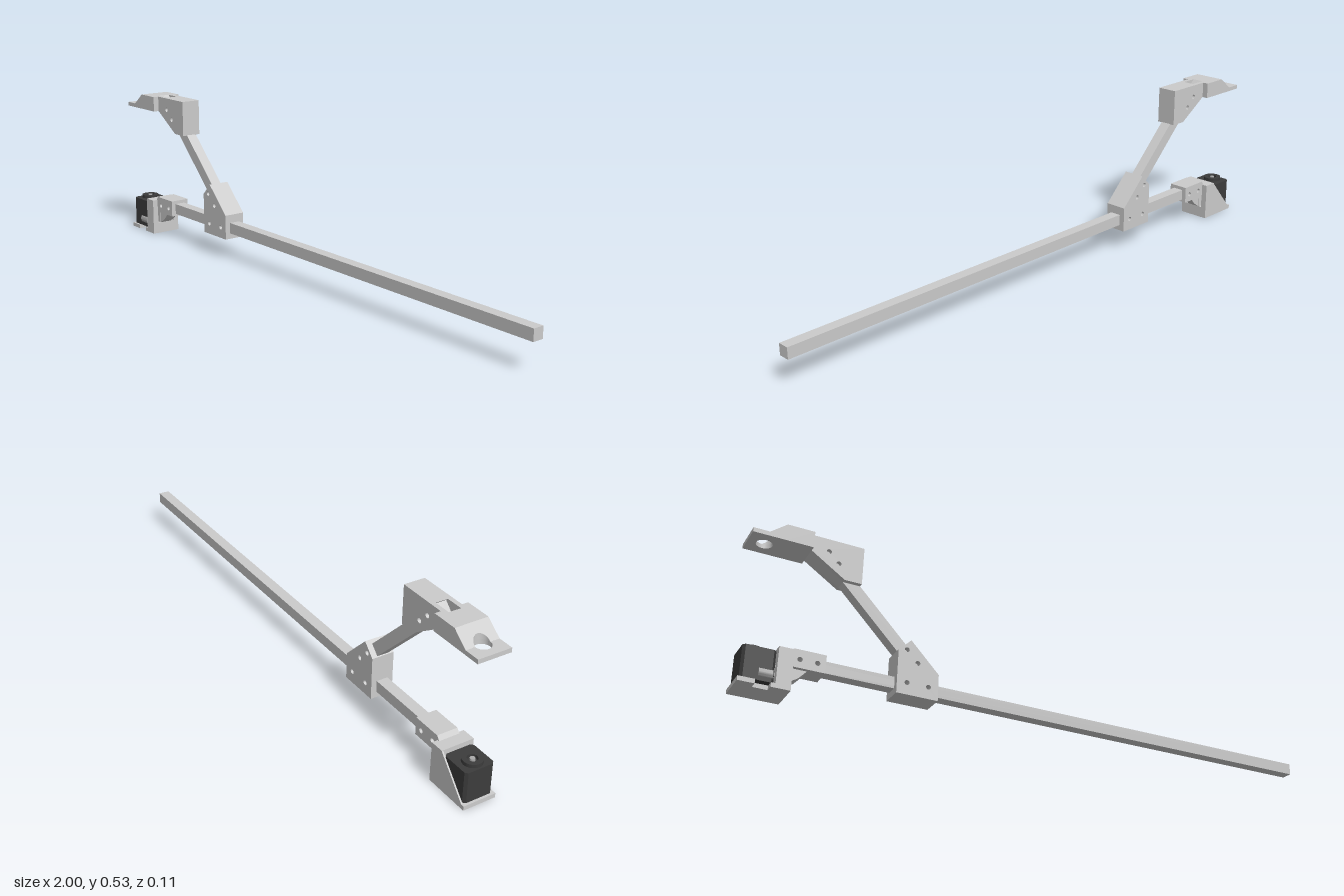
import * as THREE from 'three';
import { toCreasedNormals } from 'three/addons/utils/BufferGeometryUtils.js';

const grey = new THREE.MeshStandardMaterial({ color: 0xcccccc });
const dark = new THREE.MeshStandardMaterial({ color: 0x3c3c3c });
const silver = new THREE.MeshStandardMaterial({ color: 0xaaaaaa });

function circle(x, y, r) {
  return new THREE.Path().absarc(x, y, r, 0, Math.PI * 2, true);
}
function extrude(points, depth, holes = []) {
  const shape = new THREE.Shape(points.map(([x, y]) => new THREE.Vector2(x, y)));
  shape.holes.push(...holes);
  return new THREE.ExtrudeGeometry(shape, { depth, bevelEnabled: false, curveSegments: 10 });
}
// side profile (x, y) running from z0 to z1, with round bolt holes
function side(points, z0, z1, bolts = []) {
  return extrude(points, z1 - z0, bolts.map(([x, y]) => circle(x, y, 0.008))).translate(0, 0, z0);
}
// plan profile (x, -z) running from y0 to y1
function plan(points, y0, y1, holes) {
  return extrude(points, y1 - y0, holes).rotateX(-Math.PI / 2).translate(0, y0, 0);
}
const rect = (x0, y0, x1, y1) => [[x0, y0], [x1, y0], [x1, y1], [x0, y1]];

export function createModel() {
  const model = new THREE.Group();
  const group = (name) => {
    const g = new THREE.Group();
    g.name = name;
    model.add(g);
    return g;
  };
  const add = (parent, name, geometry, material = grey) => {
    const mesh = new THREE.Mesh(toCreasedNormals(geometry, 0.6), material);
    mesh.name = name;
    parent.add(mesh);
    return mesh;
  };

  // bolt positions in side view
  const railBolts = [[-0.487, 0.112], [-0.417, 0.112]];
  const mountBolts = [[-0.818, 0.112], [-0.765, 0.112]];
  const strutLow = [[-0.492, 0.22], [-0.455, 0.183]];
  const strutHigh = [[-0.76, 0.488], [-0.727, 0.455]];

  // square tubes
  add(model, 'mainBar', side(rect(-0.838, 0.093, 1, 0.131), -0.019, 0.019, [...railBolts, ...mountBolts]));
  add(model, 'diagonalBar', side(
    [[-0.444, 0.144], [-0.416, 0.172], [-0.768, 0.524], [-0.796, 0.496]],
    -0.019, 0.019, [...strutLow, ...strutHigh]));

  // clamp joining the two tubes
  add(model, 'middleClamp', side(
    [[-0.52, 0.073], [-0.385, 0.073], [-0.385, 0.16], [-0.48, 0.255], [-0.52, 0.215]],
    -0.038, 0.038, [...railBolts, ...strutLow]));

  // upper block, open along the slanted tube channel
  const upper = group('upperHolder');
  const blockOutline = [[-0.815, 0.476], [-0.705, 0.405], [-0.65, 0.405], [-0.65, 0.53], [-0.815, 0.53]];
  const platform = group('upperPlatform');
  for (const s of [-1, 1]) {
    const span = (a, b) => (s > 0 ? [a, b] : [-b, -a]);
    add(upper, 'blockCheek', side(blockOutline, ...span(0.02, 0.035), strutHigh));
    add(platform, 'platformCheek', side(rect(-0.9, 0.476, -0.815, 0.53), ...span(0.02, 0.055)));
  }
  add(upper, 'blockCore', side([[-0.65, 0.406], [-0.65, 0.53], [-0.774, 0.53]], -0.02, 0.02));
  add(upper, 'blockLip', side([[-0.815, 0.476], [-0.705, 0.405], [-0.815, 0.515]], -0.02, 0.02));
  add(platform, 'platformCore', side(
    [[-0.9, 0.476], [-0.815, 0.476], [-0.815, 0.515], [-0.83, 0.53], [-0.9, 0.53]], -0.02, 0.02));

  // thin end plate with a round hole, and the ramp rising from it
  const holeX = -0.95, holeR = 0.025;
  add(platform, 'endPlate', plan(rect(-1, -0.055, -0.9, 0.055), 0.476, 0.49, [circle(holeX, 0, holeR)]));
  const rampPlan = [[holeX, -0.055], [-0.9, -0.055], [-0.9, 0.055], [holeX, 0.055]];
  for (let i = 0; i <= 10; i++) {
    const a = Math.PI / 2 - (i / 10) * Math.PI;
    rampPlan.push([holeX + holeR * Math.cos(a), holeR * Math.sin(a)]);
  }
  const ramp = plan(rampPlan, 0.49, 0.53);
  const p = ramp.attributes.position;
  for (let i = 0; i < p.count; i++) {
    if (p.getY(i) > 0.51) p.setY(i, 0.4901 + (p.getX(i) - holeX) * 0.798);
  }
  ramp.computeVertexNormals();
  add(platform, 'ramp', ramp);

  // lower mount: sleeve, gusset, slotted wall, base plate and side web
  const mount = group('motorMount');
  add(mount, 'sleeve', side(
    [[-0.845, 0.085], [-0.74, 0.085], [-0.74, 0.143], [-0.838, 0.143], [-0.85, 0.128]],
    -0.035, 0.035, mountBolts));
  add(mount, 'gusset', side(
    [[-0.842, 0.04], [-0.815, 0.058], [-0.79, 0.086], [-0.842, 0.086]], -0.022, 0.022));
  const slots = [-1, 1].map((s) => new THREE.Path(
    rect(s * 0.029 - 0.005, 0.04, s * 0.029 + 0.005, 0.084).map(([x, y]) => new THREE.Vector2(x, y))));
  add(mount, 'wall', extrude(rect(-0.055, 0, 0.055, 0.13), 0.045, slots)
    .rotateY(Math.PI / 2).translate(-0.887, 0, 0));
  add(mount, 'basePlate', plan(
    [[-0.995, -0.055], [-0.945, -0.055], [-0.945, -0.028], [-0.9, -0.028], [-0.9, -0.055],
      [-0.887, -0.055], [-0.887, 0.055], [-0.995, 0.055]], 0, 0.014));
  add(mount, 'sideWeb', side([[-0.985, 0.014], [-0.887, 0.014], [-0.887, 0.128]], -0.055, -0.05));

  // motor with chamfered corners, top boss, shaft and cable socket
  const motor = group('motor');
  const mx = -0.939, h = 0.049, c = 0.008;
  add(motor, 'motorBody', plan(
    [[mx - h + c, -h], [mx + h - c, -h], [mx + h, -h + c], [mx + h, h - c],
      [mx + h - c, h], [mx - h + c, h], [mx - h, h - c], [mx - h, -h + c]], 0.015, 0.117), dark);
  add(motor, 'topBoss', plan(
    Array.from({ length: 28 }, (_, i) => {
      const a = (i / 28) * Math.PI * 2;
      return [-0.951 + 0.031 * Math.cos(a), 0.031 * Math.sin(a)];
    }), 0.116, 0.128, [circle(-0.951, 0, 0.016)]), dark);
  add(motor, 'shaft', new THREE.CylinderGeometry(0.008, 0.008, 0.012, 16).translate(-0.951, 0.122, 0), silver);
  add(motor, 'cableSocket', new THREE.CylinderGeometry(0.018, 0.018, 0.042, 20)
    .rotateZ(Math.PI / 2).translate(-0.916, 0.041, 0.036), silver);

  return model;
}
